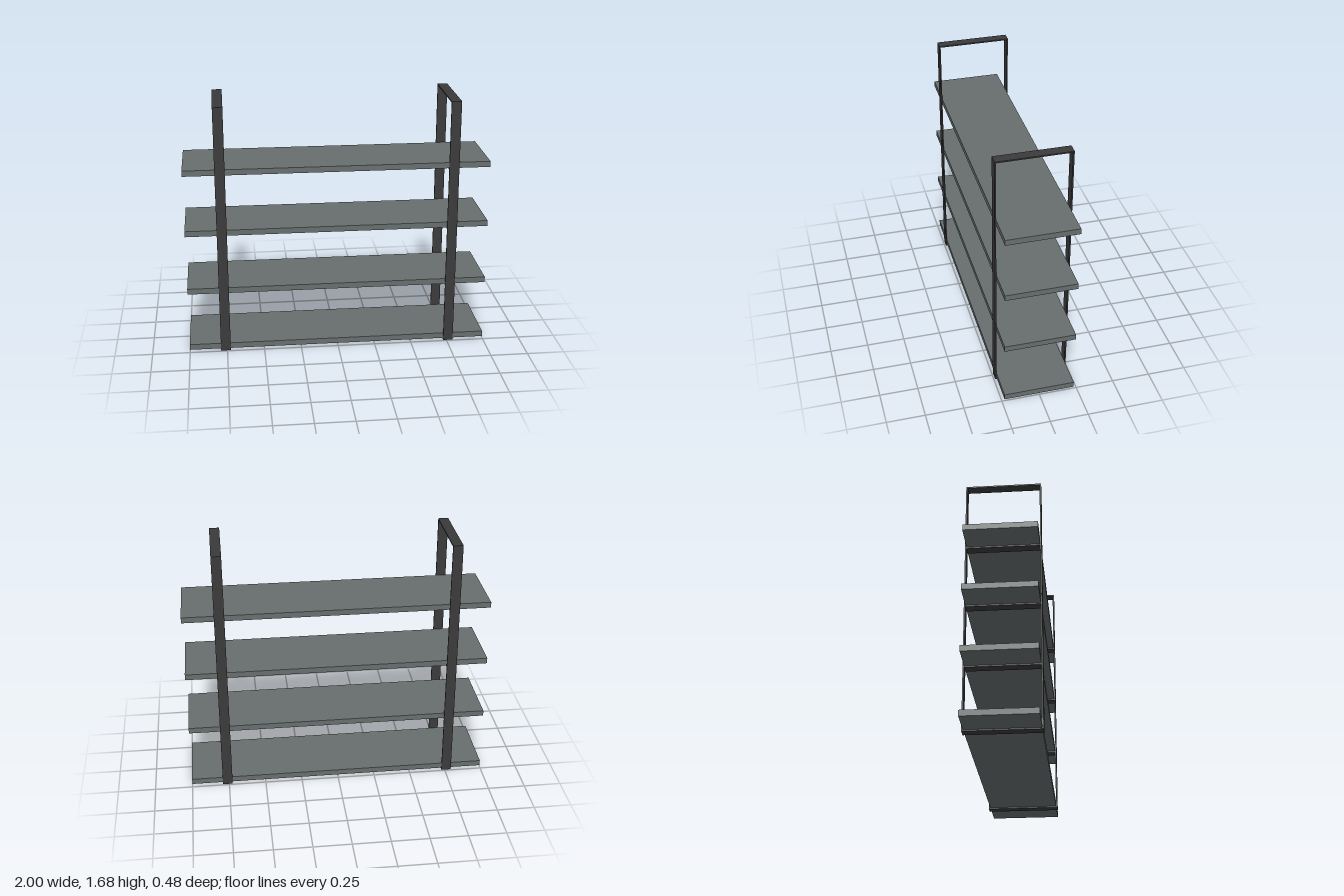
import * as THREE from 'three';

export function createModel() {
  const model = new THREE.Group();
  model.name = 'shelvingUnit';

  const shelfGrey = new THREE.MeshStandardMaterial({ color: 0x676e6d });
  shelfGrey.name = 'shelf grey';
  const frameBlack = new THREE.MeshStandardMaterial({ color: 0x3a3a3a });
  frameBlack.name = 'frame black';

  function addBox(parent, name, material, size, position) {
    const mesh = new THREE.Mesh(new THREE.BoxGeometry(...size), material);
    mesh.name = name;
    mesh.position.set(...position);
    parent.add(mesh);
  }

  const height = 1.685, depth = 0.482, strip = 0.009, stripWidth = 0.066;
  const innerDepth = depth - 2 * strip;
  const board = 0.038;
  const shelfBottoms = [0.012, 0.418, 0.825, 1.237];

  // Boards resting between the two frames
  shelfBottoms.forEach((y) => {
    addBox(model, 'shelf', shelfGrey, [2, board, innerDepth], [0, y + board / 2, 0]);
  });

  // Flat-bar hoops with a crossbar beneath each board
  for (const side of [-1, 1]) {
    const frame = new THREE.Group();
    frame.name = side > 0 ? 'leftFrame' : 'rightFrame';
    frame.position.x = side * 0.76;
    for (const end of [-1, 1]) {
      addBox(frame, end > 0 ? 'frontUpright' : 'backUpright', frameBlack,
        [stripWidth, height, strip], [0, height / 2, end * (depth - strip) / 2]);
    }
    addBox(frame, 'topBar', frameBlack, [stripWidth, strip, innerDepth], [0, height - strip / 2, 0]);
    shelfBottoms.forEach((y, i) => {
      const barY = i === 0 ? strip / 2 : y - strip / 2;
      addBox(frame, i === 0 ? 'bottomBar' : 'shelfSupport', frameBlack,
        [stripWidth, strip, innerDepth], [0, barY, 0]);
    });
    model.add(frame);
  }

  return model;
}
